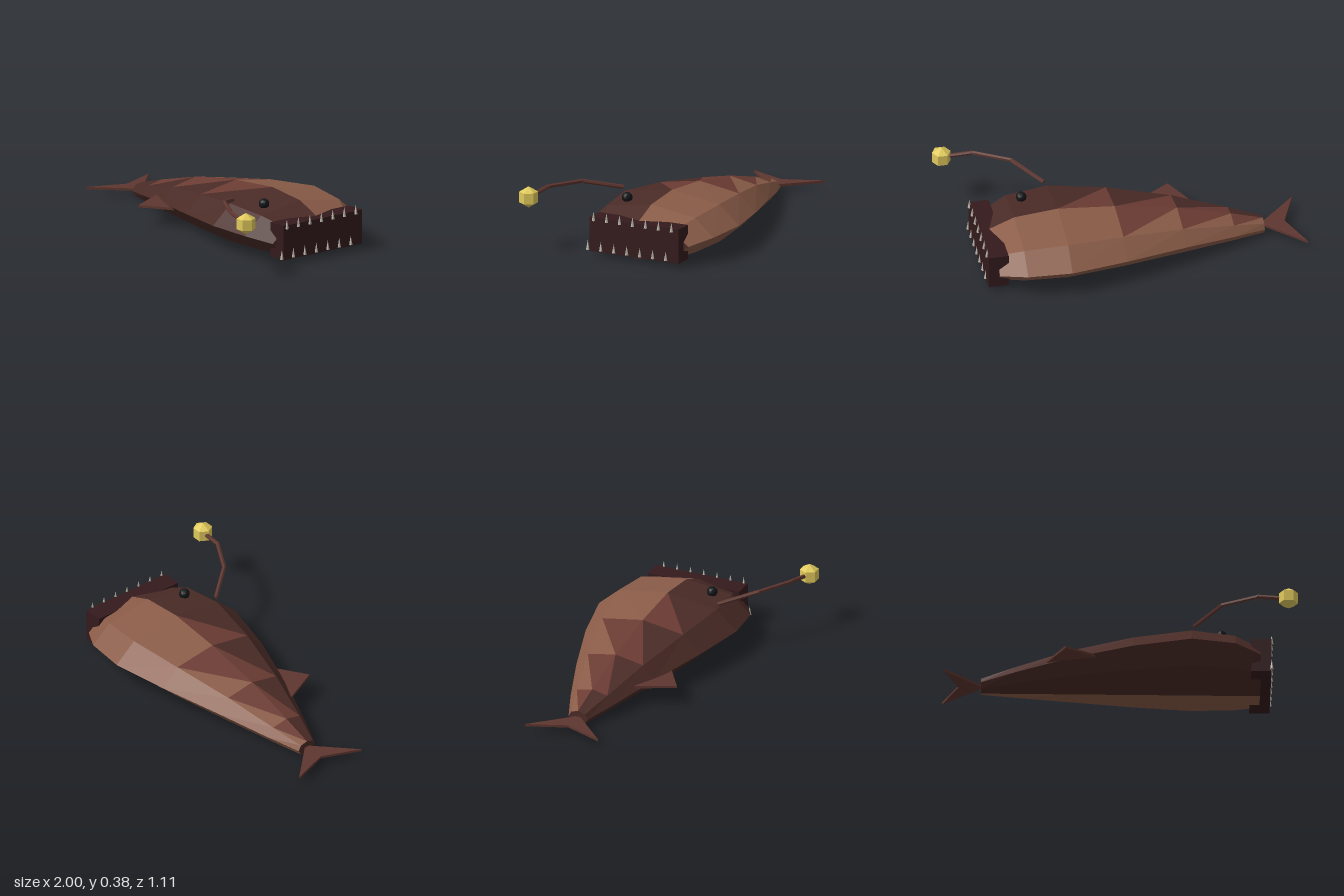
import * as THREE from 'three';

const mat = (color) => new THREE.MeshStandardMaterial({ color, flatShading: true });
const MAT = {
  tan: mat(0x8a5c48), dark: mat(0x4a2b26), red: mat(0x6b3c33), fin: mat(0x5e362f),
  mouth: mat(0x341a1c), tooth: mat(0xb8b4a8), eye: mat(0x121416), lure: mat(0xe0c95c),
};
const MID = -0.125; // z of the body's long axis

function add(group, name, geometry, material, x = 0, y = 0, z = 0) {
  const mesh = new THREE.Mesh(geometry, material);
  mesh.name = name;
  mesh.position.set(x, y, z);
  group.add(mesh);
  return mesh;
}

// Eight-sided flattened body; each ring is [x, half width, height]
function buildBody() {
  const body = new THREE.Group();
  body.name = 'body';
  const rings = [
    [-0.785, 0.06, 0.09], [-0.6, 0.135, 0.145], [-0.29, 0.245, 0.228], [0.07, 0.358, 0.287],
    [0.4, 0.43, 0.315], [0.65, 0.4, 0.29], [0.795, 0.315, 0.23],
  ];
  const point = (i, j) => {
    const [x, w, h] = rings[i];
    const a = (j * Math.PI) / 4; // 0 = +z side, 2 = top, 4 = -z side
    const low = 0.005;
    return [x, low + (h - low) / 2 * (1 + Math.sin(a)), MID + w * Math.cos(a)];
  };
  const skin = { tan: [], dark: [], red: [] };
  const last = rings.length - 1;
  for (let j = 0; j < 8; j++) {
    const side = j >= 2 && j < 6 ? 'tan' : 'dark';
    for (let i = 0; i < last; i++) {
      const a = point(i, j), b = point(i + 1, j), c = point(i + 1, j + 1), d = point(i, j + 1);
      // reddish patches beside the ridge
      const redBack = j === 2 && i < 3;
      const redFront = j === 1 && i > 0 && i < 4;
      skin[redBack ? 'red' : side].push(...a, ...b, ...c);
      skin[redFront ? 'red' : side].push(...a, ...c, ...d);
    }
    // flat ends
    skin.dark.push(rings[0][0], 0.047, MID, ...point(0, j), ...point(0, j + 1));
    skin.dark.push(rings[last][0], 0.117, MID, ...point(last, j + 1), ...point(last, j));
  }
  for (const key in skin) {
    const g = new THREE.BufferGeometry();
    g.setAttribute('position', new THREE.Float32BufferAttribute(skin[key], 3));
    g.computeVertexNormals();
    add(body, key + 'Skin', g, MAT[key]);
  }
  return body;
}

// Flat fin from [x, z] outline, lying horizontally
function finGeometry(outline, thickness) {
  const shape = new THREE.Shape(outline.map(([x, z]) => new THREE.Vector2(x, -z)));
  const g = new THREE.ExtrudeGeometry(shape, { depth: thickness, bevelEnabled: false });
  return g.rotateX(-Math.PI / 2);
}

export function createModel() {
  const model = new THREE.Group();
  model.name = 'deepSeaFish';
  model.add(buildBody());

  // Fins
  add(model, 'tailFin', finGeometry(
    [[-0.77, MID], [-1, 0.1], [-0.91, MID], [-1, -0.355]], 0.014), MAT.fin, 0, 0.04, 0);
  add(model, 'sideFin', finGeometry(
    [[-0.43, 0.04], [-0.315, 0.27], [-0.14, 0.155], [-0.14, 0.04]], 0.014), MAT.fin, 0, 0.11, 0);

  // Wide square mouth with two rows of teeth
  add(model, 'mouth', new THREE.BoxGeometry(0.115, 0.2, 0.572), MAT.mouth, 0.797, 0.13, MID);
  const teeth = new THREE.Group();
  teeth.name = 'teeth';
  const tooth = new THREE.ConeGeometry(0.011, 0.055, 6);
  for (let i = 0; i < 7; i++) {
    add(teeth, 'upperTooth', tooth, MAT.tooth, 0.855, 0.238, 0.135 - i * 0.0833);
    add(teeth, 'lowerTooth', tooth, MAT.tooth, 0.855, 0.065, 0.172 - i * 0.0833);
  }
  model.add(teeth);

  // Eye
  add(model, 'eye', new THREE.IcosahedronGeometry(0.031, 1), MAT.eye, 0.57, 0.287, 0.072);

  // Jointed stalk carrying the glowing lure
  const stalk = new THREE.Group();
  stalk.name = 'lureStalk';
  const path = [[0.42, 0.297, 0.18], [0.57, 0.345, 0.36], [0.77, 0.347, 0.473], [0.92, 0.325, 0.5]]
    .map((p) => new THREE.Vector3(...p));
  for (let i = 0; i < 3; i++) {
    const dir = path[i + 1].clone().sub(path[i]);
    const seg = add(stalk, 'stalkSegment',
      new THREE.CylinderGeometry(0.012, 0.012, dir.length() + 0.006, 6), MAT.fin);
    seg.position.copy(path[i]).addScaledVector(dir, 0.5);
    seg.quaternion.setFromUnitVectors(new THREE.Vector3(0, 1, 0), dir.normalize());
  }
  model.add(stalk);
  add(model, 'lure', new THREE.SphereGeometry(0.0625, 6, 3), MAT.lure, 0.943, 0.324, 0.504);
  return model;
}
